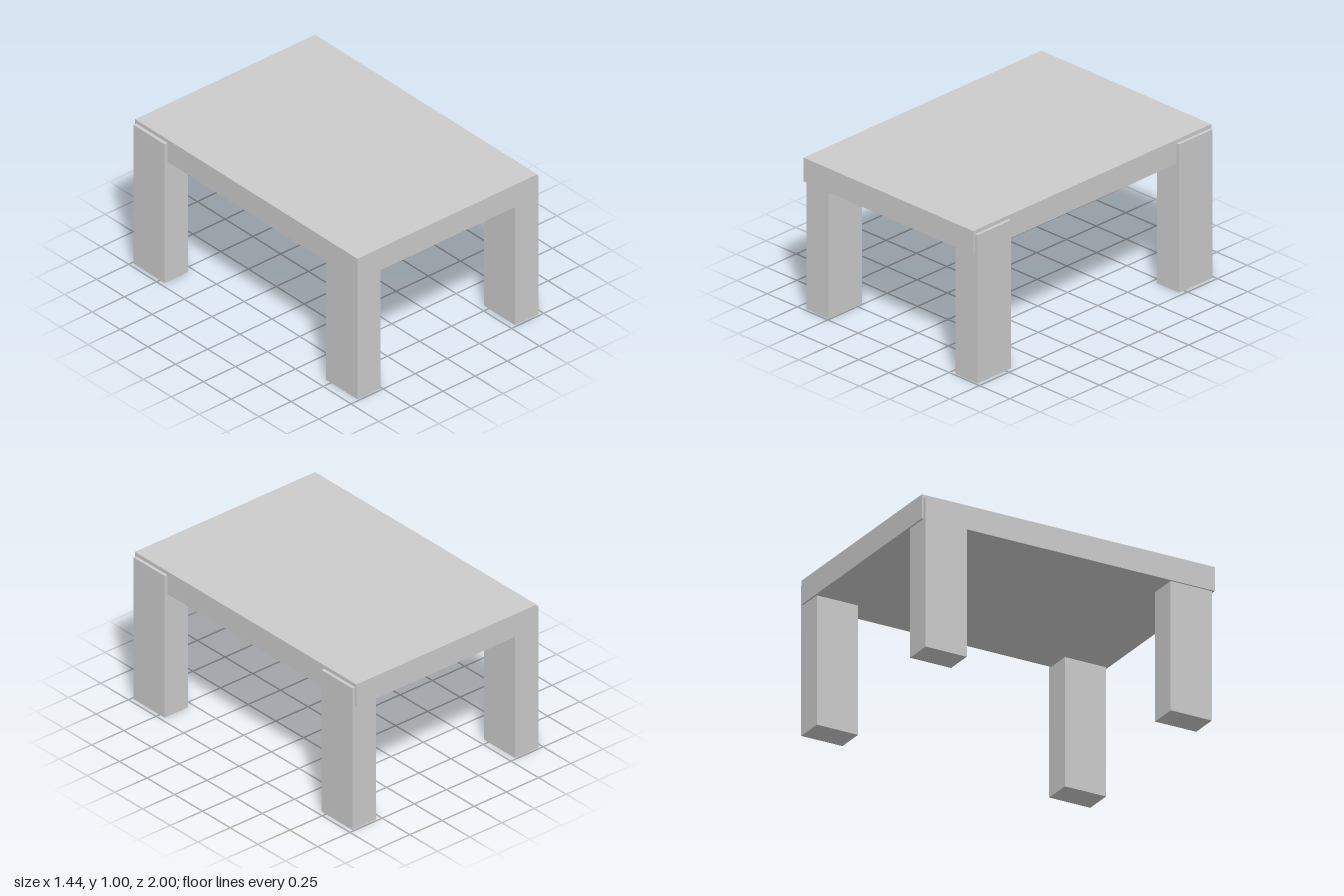
import * as THREE from 'three';

export function createModel() {
  const table = new THREE.Group();
  table.name = 'table';
  const material = new THREE.MeshStandardMaterial({ color: 0xcccccc, flatShading: true });

  function addBox(name, [w, h, d], [x, y, z]) {
    const mesh = new THREE.Mesh(new THREE.BoxGeometry(w, h, d), material);
    mesh.name = name;
    mesh.position.set(x, y, z);
    table.add(mesh);
  }

  // Thick slab top
  addBox('tableTop', [1.4, 0.156, 2], [0, 0.918, 0]);

  // Legs reach up into the slab; the front right one sits slightly further in
  const legHeight = 0.972;
  const legs = [
    ['frontLeftLeg', 0.63, 0.846],
    ['frontRightLeg', -0.598, 0.846],
    ['backLeftLeg', 0.63, -0.848],
    ['backRightLeg', -0.632, -0.848],
  ];
  for (const [name, x, z] of legs) {
    addBox(name, [0.182, legHeight, 0.281], [x, legHeight / 2, z]);
  }

  return table;
}
